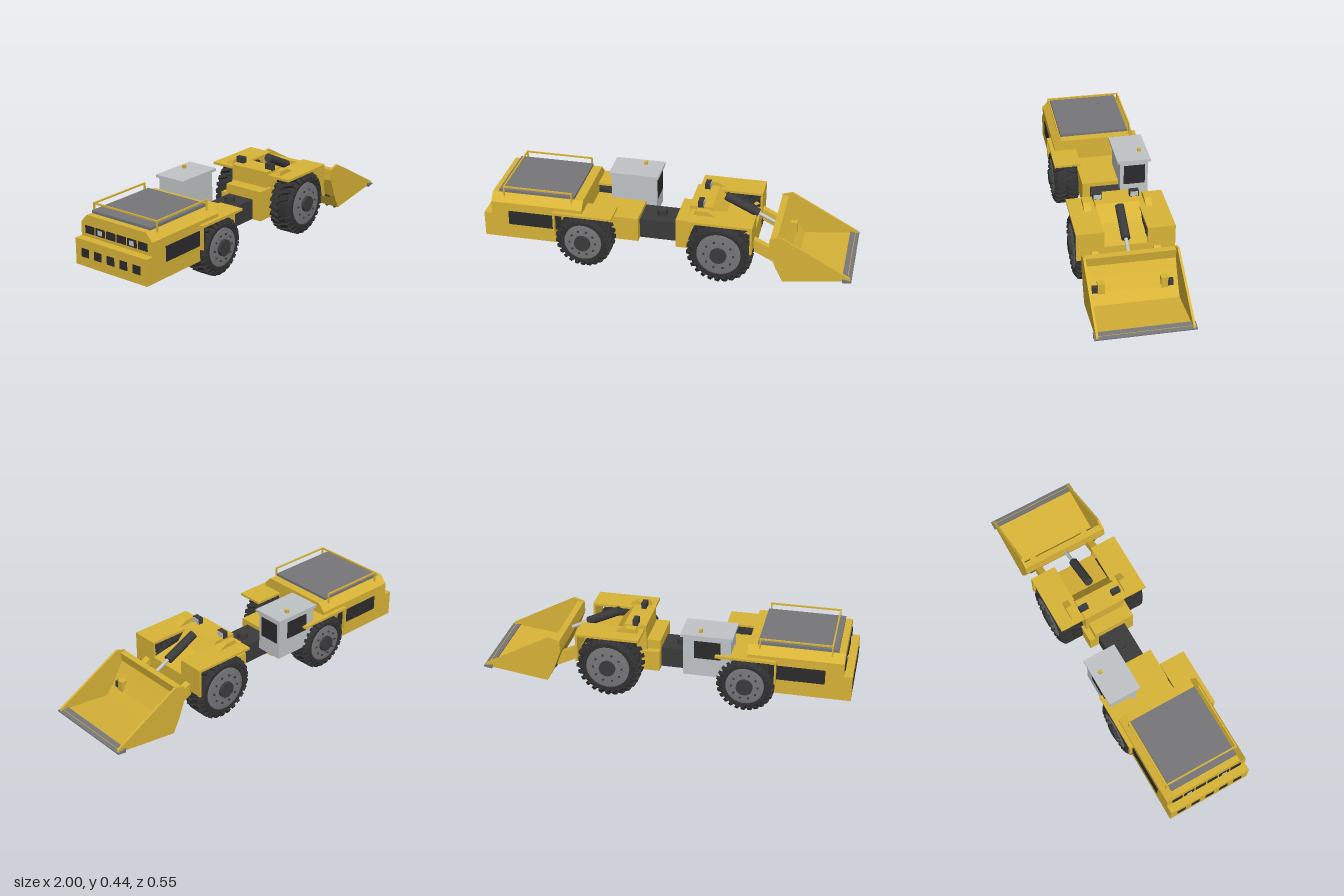
import * as THREE from 'three';
import { mergeGeometries, toCreasedNormals } from 'three/addons/utils/BufferGeometryUtils.js';

const mat = (name, color) => new THREE.MeshStandardMaterial({ name, color });
const yellow = mat('yellow paint', 0xd9b437);
const dark = mat('dark steel', 0x3b3b3c);
const rubber = mat('tyre rubber', 0x323233);
const grey = mat('grey steel', 0x77777a);
const pale = mat('pale cab paint', 0xc2c5c7);
const glass = mat('dark glass', 0x2b2b2d);
// Lathed parts may be seen from either side
rubber.side = grey.side = THREE.DoubleSide;

export function createModel() {
  const model = new THREE.Group();
  model.name = 'miningVehicle';

  const add = (name, geo, material, parent = model) => {
    const m = new THREE.Mesh(geo, material);
    m.name = name;
    parent.add(m);
    return m;
  };
  // Box given by its minimum and maximum on each axis
  const box = (name, material, x0, x1, y0, y1, z0, z1) => add(name,
    new THREE.BoxGeometry(x1 - x0, y1 - y0, z1 - z0)
      .translate((x0 + x1) / 2, (y0 + y1) / 2, (z0 + z1) / 2), material);
  const extrude = (pts, depth) => new THREE.ExtrudeGeometry(
    new THREE.Shape(pts.map(p => new THREE.Vector2(...p))), { depth, bevelEnabled: false });
  // Side profile (x, y) extruded from z0 to z1
  const profile = (name, material, pts, z0, z1) =>
    add(name, extrude(pts, z1 - z0).translate(0, 0, z0), material);
  // Cylinder between two points
  const rod = (name, material, a, b, r, sides = 16) => {
    const p = new THREE.Vector3(...a), q = new THREE.Vector3(...b);
    const m = add(name, new THREE.CylinderGeometry(r, r, p.distanceTo(q), sides), material);
    m.position.copy(p).add(q).multiplyScalar(0.5);
    m.quaternion.setFromUnitVectors(new THREE.Vector3(0, 1, 0), q.sub(p).normalize());
  };

  // ---- Rear body ----
  box('rearLowerBody', yellow, -1, -0.6, 0.125, 0.265, -0.235, 0.235);
  // Hood with chamfered top edges, raised over the wheels at its front end
  const hood = (name, x0, x1, y0) => add(name, extrude([[-0.235, y0], [0.235, y0], [0.235, 0.338],
    [0.195, 0.38], [-0.195, 0.38], [-0.235, 0.338]], x1 - x0)
    .rotateY(Math.PI / 2).translate(x0, 0, 0), yellow);
  hood('engineHood', -0.955, -0.6, 0.26);
  hood('hoodFront', -0.6, -0.45, 0.315);
  box('radiatorGrille', grey, -0.92, -0.5, 0.378, 0.395, -0.193, 0.193);
  box('rearChassis', yellow, -0.62, -0.17, 0.12, 0.258, -0.122, 0.122);
  box('hoodBulkhead', yellow, -0.6, -0.45, 0.25, 0.32, -0.122, 0.122);

  // Hood handrail and side vents
  for (const s of [1, -1]) {
    const z = s * 0.207;
    box('sideRail', yellow, -0.892, -0.508, 0.416, 0.424, z - 0.004, z + 0.004);
    for (const x of [-0.888, -0.512])
      box('railPost', yellow, x - 0.004, x + 0.004, 0.34, 0.42, z - 0.004, z + 0.004);
    box('sideVent', glass, -0.86, -0.565, 0.21, 0.29, s * 0.237 - 0.003, s * 0.237 + 0.003);
  }
  box('endRail', yellow, -0.892, -0.884, 0.416, 0.424, -0.207, 0.207);

  // Rear vents and lamps
  for (let i = -2; i <= 2; i++)
    box('rearVent', glass, -1.003, -0.998, 0.175, 0.22, i * 0.085 - 0.024, i * 0.085 + 0.024);
  for (let i = 0; i < 6; i++) {
    const z = (i - 2.5) * 0.07;
    box('rearLampPanel', glass, -0.96, -0.953, 0.285, 0.325, z - 0.029, z + 0.029);
    if (i === 1 || i === 4)
      box('rearLamp', pale, -0.963, -0.959, 0.293, 0.317, z - 0.014, z + 0.014);
  }

  // ---- Cab ----
  box('cab', pale, -0.365, -0.11, 0.18, 0.41, -0.235, -0.08);
  box('cabRoof', pale, -0.375, -0.098, 0.407, 0.422, -0.248, -0.062);
  box('cabFrontWindow', glass, -0.111, -0.107, 0.27, 0.385, -0.218, -0.1);
  box('cabSideWindow', glass, -0.31, -0.17, 0.285, 0.385, -0.239, -0.234);
  box('beacon', yellow, -0.207, -0.189, 0.42, 0.438, -0.211, -0.192);

  // ---- Articulation joint ----
  box('jointBlock', dark, -0.18, 0.05, 0.122, 0.235, -0.08, 0.08);
  rod('jointPin', dark, [-0.06, 0.107, 0], [-0.06, 0.265, 0], 0.028, 20);

  // ---- Front frame ----
  box('frontFrameRear', yellow, 0.04, 0.14, 0.12, 0.235, -0.135, 0.135);
  box('frontFrameStep', yellow, 0.04, 0.14, 0.235, 0.288, -0.1, 0.135);
  profile('frontFrame', yellow, [[0.1, 0.12], [0.47, 0.14], [0.47, 0.27], [0.3, 0.3], [0.235, 0.378],
    [0.115, 0.378], [0.115, 0.29]], -0.118, 0.118);
  for (const s of [1, -1]) {
    const z = s * 0.098;
    box('headlight', dark, 0.16, 0.188, 0.375, 0.411, z - 0.025, z + 0.025);
    box('headlightLens', pale, 0.187, 0.191, 0.381, 0.407, z - 0.021, z + 0.021);
  }

  // ---- Fenders with hanging flaps ----
  for (const s of [1, -1]) {
    const zs = [s * 0.113, s * 0.259].sort((a, b) => a - b);
    box('frontFender', yellow, 0.125, 0.472, 0.347, 0.36, ...zs);
    box('frontFenderFlap', yellow, 0.46, 0.472, 0.2, 0.355, ...zs);
    box('rearFender', yellow, -0.607, -0.283, 0.307, 0.32, ...zs);
    box('rearFenderFlap', yellow, -0.607, -0.597, 0.19, 0.315, ...zs);
  }

  // ---- Boom, tilt cylinder and bucket ----
  for (const s of [1, -1]) {
    const z = s * 0.163;
    profile('boomArm', yellow, [[0.15, 0.36], [0.16, 0.385], [0.22, 0.385], [0.47, 0.25], [0.61, 0.18],
      [0.665, 0.18], [0.665, 0.12], [0.59, 0.12], [0.47, 0.18]], z - 0.018, z + 0.018);
    box('bucketPin', dark, 0.6, 0.66, 0.117, 0.16, s * 0.195 - 0.015, s * 0.195 + 0.015);
  }
  rod('tiltCylinder', dark, [0.29, 0.393, 0], [0.468, 0.308, 0], 0.024);
  rod('tiltRod', pale, [0.46, 0.312, 0], [0.575, 0.255, 0], 0.01, 12);

  profile('bucketShell', yellow, [[0.565, 0.298], [0.56, 0.235], [0.6, 0.13], [0.64, 0.052], [0.98, 0.1],
    [0.98, 0.108], [0.7, 0.075], [0.66, 0.125], [0.618, 0.195], [0.59, 0.245], [0.6, 0.298]], -0.24, 0.24);
  for (const s of [1, -1])
    profile('bucketSide', yellow, [[0.56, 0.235], [0.6, 0.13], [0.64, 0.052], [0.995, 0.102],
      [0.99, 0.117], [0.62, 0.318], [0.563, 0.3]], s * 0.241 - 0.006, s * 0.241 + 0.006);
  profile('cuttingEdge', grey, [[0.955, 0.09], [1, 0.098], [1, 0.104], [0.95, 0.112]], -0.256, 0.256);
  for (let i = -4; i <= 4; i++) {
    const z = i * 0.0535;
    profile('wearRib', dark, [[0.65, 0.04], [0.97, 0.085], [0.97, 0.1], [0.65, 0.056]], z - 0.007, z + 0.007);
  }

  // ---- Wheels ----
  const lathe = pts => toCreasedNormals(
    new THREE.LatheGeometry(pts.map(p => new THREE.Vector2(...p)), 40).rotateX(Math.PI / 2), 0.5);
  const makeWheel = (name, R, hubR, x, side) => {
    const wheel = new THREE.Group();
    wheel.name = name;
    const t = R * 0.9;
    add('tyre', lathe([[0.01, -0.066], [hubR, -0.066], [R * 0.8, -0.068], [t, -0.05], [t, 0.05],
      [R * 0.8, 0.068], [hubR + 0.004, 0.068], [hubR, 0.058], [0.01, 0.058]]), rubber, wheel);
    // Two staggered rows of lugs that wrap over the shoulders
    const lugs = [];
    const count = 26;
    for (let i = 0; i < count; i++) {
      for (const s of [1, -1]) {
        const a = -Math.PI / 2 + (i + (s < 0 ? 0.5 : 0)) / count * Math.PI * 2;
        const tread = new THREE.BoxGeometry(R * 0.14, R * 0.11, 0.052)
          .rotateX(s * 0.35).translate(R * 0.93, 0, s * 0.027);
        const shoulder = new THREE.BoxGeometry(R * 0.16, R * 0.11, 0.016)
          .rotateY(s * 0.6).translate(R * 0.87, -R * 0.05, s * 0.058);
        lugs.push(tread.rotateZ(a), shoulder.rotateZ(a));
      }
    }
    add('treadLugs', mergeGeometries(lugs), rubber, wheel);
    add('rim', lathe([[hubR, 0.05], [hubR, 0.068], [hubR * 0.9, 0.07], [0.01, 0.07]]), grey, wheel);
    add('hub', new THREE.CylinderGeometry(0.044, 0.044, 0.04, 24)
      .rotateX(Math.PI / 2).translate(0, 0, 0.066), dark, wheel);
    const bolts = [];
    for (let i = 0; i < 10; i++) {
      const a = i / 10 * Math.PI * 2, r = (hubR + 0.04) / 2;
      bolts.push(new THREE.CylinderGeometry(0.006, 0.006, 0.012, 6).rotateX(Math.PI / 2)
        .translate(r * Math.cos(a), r * Math.sin(a), 0.07));
    }
    add('wheelBolts', mergeGeometries(bolts), dark, wheel);
    wheel.position.set(x, R, side * 0.188);
    if (side < 0) wheel.rotation.y = Math.PI;
    model.add(wheel);
  };
  for (const s of [1, -1]) {
    makeWheel('frontWheel', 0.177, 0.118, 0.297, s);
    makeWheel('rearWheel', 0.155, 0.102, -0.445, s);
  }
  rod('frontAxle', dark, [0.297, 0.177, -0.15], [0.297, 0.177, 0.15], 0.04);
  rod('rearAxle', dark, [-0.445, 0.155, -0.15], [-0.445, 0.155, 0.15], 0.035);

  return model;
}
